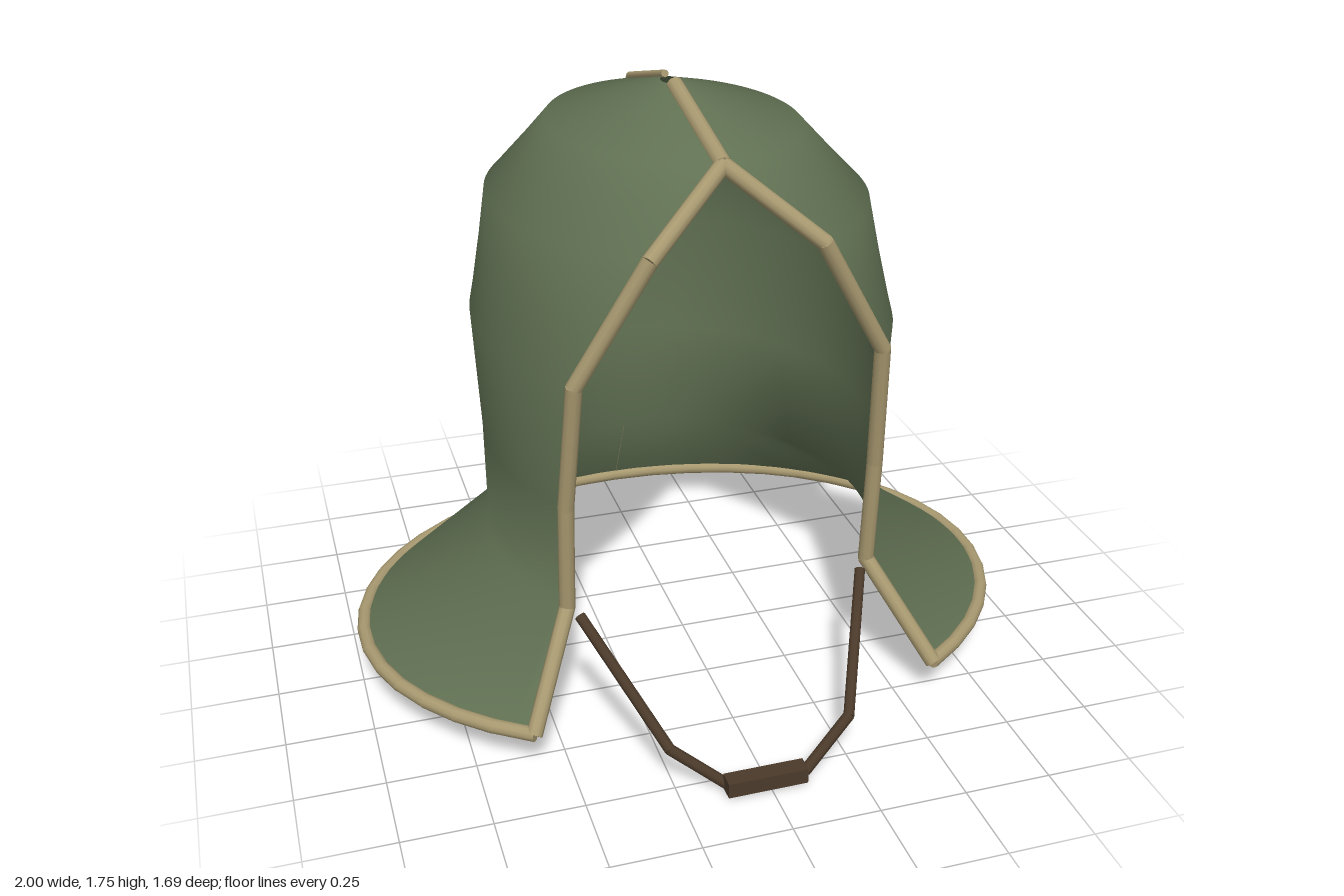
import * as THREE from 'three';

const mat = (name, color, side = THREE.FrontSide) => {
  const m = new THREE.MeshStandardMaterial({ color, side });
  m.name = name;
  return m;
};

// Hood cross-sections: height, half width, z of the back, x and z of the face opening edge
const RINGS = [
  [0.122, 0.979, -0.822, 0.595, 0.56],
  [0.39, 0.58, -0.685, 0.45, 0.37],
  [0.72, 0.58, -0.74, 0.45, 0.395],
  [1.10, 0.60, -0.74, 0.43, 0.45],
  [1.44, 0.535, -0.71, 0.235, 0.49],
  [1.63, 0.355, -0.545, 0, 0.355],
  [1.73, 0.025, -0.165, 0, -0.08],
];

// Point on a ring; u runs from the left opening edge (0) round the back to the right edge (1)
function hoodPoint([y, rx, back, edgeX, edgeZ], u) {
  const t0 = Math.asin(edgeX / rx);
  const rz = (edgeZ - back) / (1 + Math.cos(t0));
  const t = t0 + u * 2 * (Math.PI - t0);
  return new THREE.Vector3(rx * Math.sin(t), y, back + rz + rz * Math.cos(t));
}

function hoodGeometry(cols) {
  const pos = [], index = [];
  RINGS.forEach((ring, i) => {
    for (let j = 0; j <= cols; j++) {
      pos.push(...hoodPoint(ring, j / cols).toArray());
      if (i === RINGS.length - 1 || j === cols) continue;
      const a = i * (cols + 1) + j, d = a + cols + 1;
      index.push(a, a + 1, d + 1, a, d + 1, d);
    }
  });
  const geo = new THREE.BufferGeometry();
  geo.setAttribute('position', new THREE.Float32BufferAttribute(pos, 3));
  geo.setIndex(index);
  geo.computeVertexNormals();
  return geo;
}

// Chain of straight round rods through a list of points
function rods(name, points, radius, material, sides = 10) {
  const group = new THREE.Group();
  group.name = name;
  for (let i = 0; i < points.length - 1; i++) {
    const dir = points[i + 1].clone().sub(points[i]);
    const rod = new THREE.Mesh(
      new THREE.CylinderGeometry(radius, radius, dir.length() + radius * 0.3, sides), material);
    rod.name = name + 'Segment';
    rod.position.copy(points[i]).addScaledVector(dir, 0.5);
    rod.quaternion.setFromUnitVectors(new THREE.Vector3(0, 1, 0), dir.normalize());
    group.add(rod);
  }
  return group;
}

export function createModel() {
  const cloth = mat('greenCloth', 0x617153, THREE.DoubleSide);
  const piping = mat('tanPiping', 0xa89970);
  const leather = mat('brownLeather', 0x4b3a2a);
  const V = (x, y, z) => new THREE.Vector3(x, y, z);

  const model = new THREE.Group();
  model.name = 'hood';

  // Cloth shell with flared brim, open at the face and crown
  const shell = new THREE.Mesh(hoodGeometry(72), cloth);
  shell.name = 'hoodShell';
  model.add(shell);

  // Piping round the brim
  const rim = [];
  for (let j = 0; j <= 36; j++) rim.push(hoodPoint(RINGS[0], j / 36));
  model.add(rods('brimPiping', rim, 0.021, piping));

  // Piping along both sides of the face opening
  const edge = RINGS.slice(0, 6);
  model.add(rods('leftFacePiping', edge.map(r => hoodPoint(r, 0)), 0.023, piping));
  model.add(rods('rightFacePiping', edge.map(r => hoodPoint(r, 1)), 0.023, piping));

  // Crown ridge at the front and thin seam down the back
  model.add(rods('crownRidge', [V(0, 1.63, 0.355), V(0, 1.728, -0.07)], 0.024, piping));
  const seam = RINGS.map(([y, , back], i) => V(0, y + (i > 4 ? 0.006 : 0), back - (i < 5 ? 0.012 : 0.006)));
  model.add(rods('backSeam', seam, 0.011, piping, 8));

  // Chin strap, mirrored, with a toggle at its lowest point
  for (const [name, s] of [['leftChinStrap', 1], ['rightChinStrap', -1]]) {
    const path = [V(s * 0.42, 0.37, 0.40), V(s * 0.26, 0.125, 0.735), V(s * 0.11, 0.019, 0.80)];
    model.add(rods(name, path, 0.016, leather, 8));
  }
  const toggle = new THREE.Mesh(new THREE.BoxGeometry(0.228, 0.045, 0.05), leather);
  toggle.name = 'strapToggle';
  toggle.position.set(-0.014, 0.038, 0.822);
  model.add(toggle);

  return model;
}
